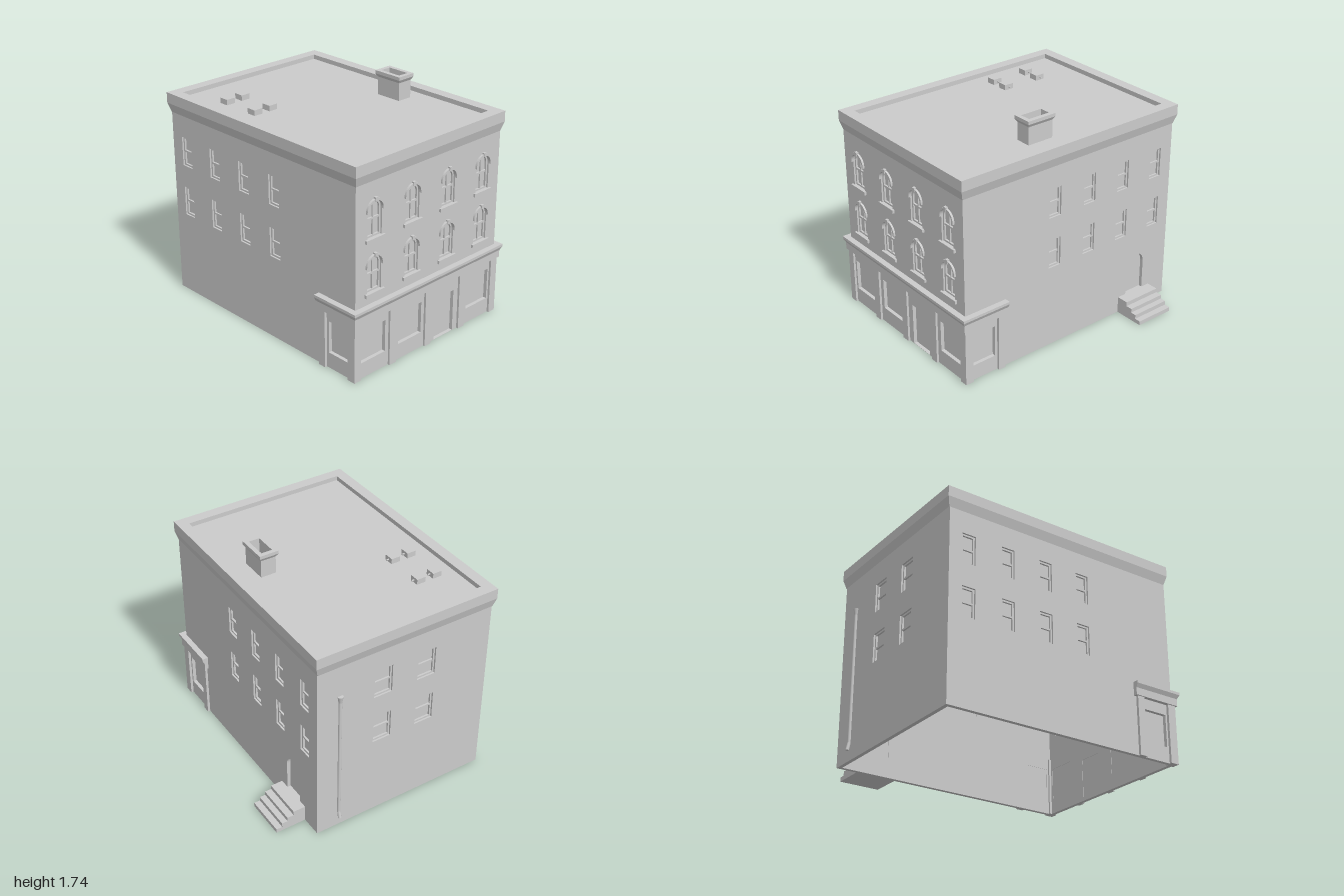
import * as THREE from 'three';

const mat = new THREE.MeshStandardMaterial({ color: 0xcccccc, side: THREE.DoubleSide });

// Wall faces of the building
const X0 = -0.82, X1 = 0.61, ZB = -0.97, ZF = 0.95, T = 0.03;

function add(parent, name, geo, x = 0, y = 0, z = 0) {
  const m = new THREE.Mesh(geo, mat);
  m.name = name;
  m.position.set(x, y, z);
  parent.add(m);
  return m;
}

// Box given by its minimum and maximum on each axis
function box(parent, name, x0, x1, y0, y1, z0, z1) {
  return add(parent, name, new THREE.BoxGeometry(x1 - x0, y1 - y0, z1 - z0),
    (x0 + x1) / 2, (y0 + y1) / 2, (z0 + z1) / 2);
}

// Opening outline: a rectangle, or an arch whose crown is a half circle
function outline(o, inset = 0) {
  const w = o.w / 2 - inset, s = new THREE.Shape();
  s.moveTo(o.u - w, o.y0 + inset);
  s.lineTo(o.u + w, o.y0 + inset);
  if (o.arch) {
    s.lineTo(o.u + w, o.y1 - o.w / 2);
    s.absarc(o.u, o.y1 - o.w / 2, w, 0, Math.PI, false);
  } else {
    s.lineTo(o.u + w, o.y1 - inset);
    s.lineTo(o.u - w, o.y1 - inset);
  }
  s.closePath();
  return s;
}

const extrude = (shape, depth) =>
  new THREE.ExtrudeGeometry(shape, { depth, bevelEnabled: false, curveSegments: 10 });

// Wall slab with openings; local +z points out of the building
function wall(parent, name, u0, u1, openings) {
  const g = new THREE.Group();
  g.name = name;
  const s = new THREE.Shape([[u0, 0], [u1, 0], [u1, 1.56], [u0, 1.56]].map(p => new THREE.Vector2(...p)));
  openings.forEach(o => s.holes.push(outline(o)));
  add(g, name + 'Slab', extrude(s, T), 0, 0, -T);
  openings.forEach(o => {
    add(g, o.sash ? 'windowPane' : 'recessedPanel', new THREE.ShapeGeometry(outline(o), 10), 0, 0, -0.027);
    if (o.sash) sash(g, o);
    if (o.arch && o.sash) archTrim(g, o);
  });
  parent.add(g);
  return g;
}

// Window frame with a middle rail, and an upright bar when arched
function sash(g, o) {
  const f = outline(o);
  f.holes.push(outline(o, 0.013));
  add(g, 'windowFrame', extrude(f, 0.014), 0, 0, -0.027);
  const mid = (o.y0 + o.y1) / 2, w = o.w / 2 - 0.01;
  box(g, 'middleRail', o.u - w, o.u + w, mid - 0.007, mid + 0.007, -0.027, -0.014);
  if (o.arch) box(g, 'uprightBar', o.u - 0.005, o.u + 0.005, o.y0 + 0.01, o.y1 - 0.01, -0.027, -0.016);
}

// Sill, arched hood and keystone
function archTrim(g, o) {
  const r = o.w / 2, yc = o.y1 - r, s = new THREE.Shape();
  s.moveTo(o.u + r, yc - 0.012);
  s.lineTo(o.u + r + 0.015, yc - 0.012);
  s.absarc(o.u, yc, r + 0.015, 0, Math.PI, false);
  s.lineTo(o.u - r - 0.015, yc - 0.012);
  s.lineTo(o.u - r, yc - 0.012);
  s.absarc(o.u, yc, r, Math.PI, 0, true);
  add(g, 'archHood', extrude(s, 0.015));
  box(g, 'keystone', o.u - 0.012, o.u + 0.012, o.y1 - 0.004, o.y1 + 0.025, 0, 0.02);
  box(g, 'sill', o.u - 0.088, o.u + 0.088, o.y0 - 0.025, o.y0, -0.02, 0.017);
}

// Sweep a profile of [outward, height] around a rectangle with mitred corners
function sweep(profile, x0, x1, zb, zf, closed) {
  const e = closed ? -1 : 0;
  const path = [[x1, zb, 1, e], [x1, zf, 1, 1], [x0, zf, -1, 1], [x0, zb, -1, e]];
  const P = (i, j) => {
    const [x, z, dx, dz] = path[i % 4], [out, y] = profile[j];
    return [x + dx * out, y, z + dz * out];
  };
  const v = [], n = profile.length;
  for (let i = 0; i < (closed ? 4 : 3); i++)
    for (let j = 0; j < n - 1; j++) {
      const a = P(i, j), b = P(i, j + 1), c = P(i + 1, j + 1), d = P(i + 1, j);
      v.push(...a, ...b, ...c, ...a, ...c, ...d);
    }
  if (!closed)
    for (let j = 1; j < n - 1; j++)
      v.push(...P(0, 0), ...P(0, j + 1), ...P(0, j), ...P(3, 0), ...P(3, j), ...P(3, j + 1));
  const geo = new THREE.BufferGeometry();
  geo.setAttribute('position', new THREE.Float32BufferAttribute(v, 3));
  geo.computeVertexNormals();
  return geo;
}

export function createModel() {
  const root = new THREE.Group();
  root.name = 'cornerShopBuilding';

  // Openings: two storeys of windows, shop windows and doors
  const front = [], right = [], left = [], back = [];
  for (const dy of [0, 0.4]) {
    for (const u of [-0.645, -0.285, 0.075, 0.435])
      front.push({ u, w: 0.132, y0: 0.635 + dy, y1: 0.9 + dy, arch: true, sash: true });
    for (const z of [0.153, -0.169, -0.49, -0.812]) {
      const o = { w: 0.107, y0: 0.648 + dy, y1: 0.873 + dy, sash: true };
      right.push({ ...o, u: -z });
      left.push({ ...o, u: z });
    }
    for (const x of [0.08, -0.28])
      back.push({ u: -x, w: 0.15, y0: 0.648 + dy, y1: 0.873 + dy, sash: true });
  }
  for (const u of [-0.647, -0.285, 0.434]) front.push({ u, w: 0.232, y0: 0.12, y1: 0.365 });
  front.push({ u: 0.074, w: 0.198, y0: 0.002, y1: 0.33 });
  right.push({ u: -0.79, w: 0.19, y0: 0.12, y1: 0.365 });
  left.push({ u: 0.79, w: 0.19, y0: 0.12, y1: 0.365 });
  right.push({ u: 0.655, w: 0.17, y0: 0.13, y1: 0.45, arch: true });

  // Four walls
  wall(root, 'frontWall', X0 + T, X1 - T, front).position.z = ZF;
  const b = wall(root, 'backWall', -X1 + T, -X0 - T, back);
  b.position.z = ZB;
  b.rotation.y = Math.PI;
  const r = wall(root, 'rightSideWall', -ZF, -ZB, right);
  r.position.x = X1;
  r.rotation.y = Math.PI / 2;
  const l = wall(root, 'leftSideWall', ZB, ZF, left);
  l.position.x = X0;
  l.rotation.y = -Math.PI / 2;

  // Roof cornice with parapet, and the sunken deck
  add(root, 'roofCornice', sweep([[0, 1.44], [0.02, 1.51], [0.02, 1.59], [-0.065, 1.59], [-0.065, 1.555]],
    X0, X1, ZB - 0.005, ZF, true));
  box(root, 'roofDeck', X0 + 0.02, X1 - 0.02, 1.54, 1.555, ZB + 0.02, ZF - 0.02);

  // Shopfront pilasters and cornice
  for (const [a, c] of [[-0.5, -0.435], [-0.14, -0.075], [0.22, 0.283]])
    box(root, 'pilaster', a, c, 0, 0.45, ZF - 0.01, 0.967);
  for (const [a, c] of [[-0.84, -0.78], [0.567, 0.63]]) {
    box(root, 'cornerPilaster', a, c, 0, 0.45, 0.9, 0.967);
    box(root, 'sidePilaster', a < 0 ? a : X1 - 0.01, a < 0 ? X0 + 0.01 : c, 0, 0.45, 0.617, 0.675);
  }
  add(root, 'shopCornice', sweep([[0, 0.445], [0.03, 0.445], [0.03, 0.5], [0.045, 0.53], [0.045, 0.55], [0, 0.55]],
    X0, X1, 0.597, ZF, false));

  // Chimney: shaft, flared cap and flue
  add(root, 'chimney', sweep([[0, 1.55], [0, 1.69], [0.015, 1.715], [0.015, 1.74], [-0.018, 1.74], [-0.018, 1.62]],
    0.31, 0.43, 0.035, 0.247, true));
  box(root, 'flueFloor', 0.32, 0.42, 1.61, 1.62, 0.045, 0.237);

  // Roof vents with short spouts
  for (const x of [-0.605, -0.468])
    for (const z of [-0.582, -0.278]) {
      box(root, 'roofVent', x - 0.036, x + 0.036, 1.55, 1.596, z - 0.037, z + 0.037);
      add(root, 'ventSpout', new THREE.CylinderGeometry(0.006, 0.006, 0.025, 8), x + 0.045, 1.575, z)
        .rotation.z = Math.PI / 2;
    }

  // Side door steps
  const st = new THREE.Shape([[0.6, 0], [0.85, 0], [0.85, 0.032], [0.802, 0.032], [0.802, 0.065], [0.757, 0.065],
    [0.757, 0.097], [0.705, 0.097], [0.705, 0.13], [0.6, 0.13]].map(p => new THREE.Vector2(...p)));
  add(root, 'sideSteps', extrude(st, 0.315), 0, 0, -0.81);

  // Downpipe on the back: hopper, pipe and kicked-out foot
  add(root, 'downpipe', new THREE.CylinderGeometry(0.013, 0.013, 1.02, 10), 0.43, 0.64, -0.975);
  add(root, 'pipeHopper', new THREE.CylinderGeometry(0.022, 0.013, 0.05, 10), 0.43, 1.165, -0.975);
  add(root, 'pipeFoot', new THREE.CylinderGeometry(0.013, 0.013, 0.065, 10), 0.43, 0.108, -0.981)
    .rotation.x = 0.22;
  return root;
}
